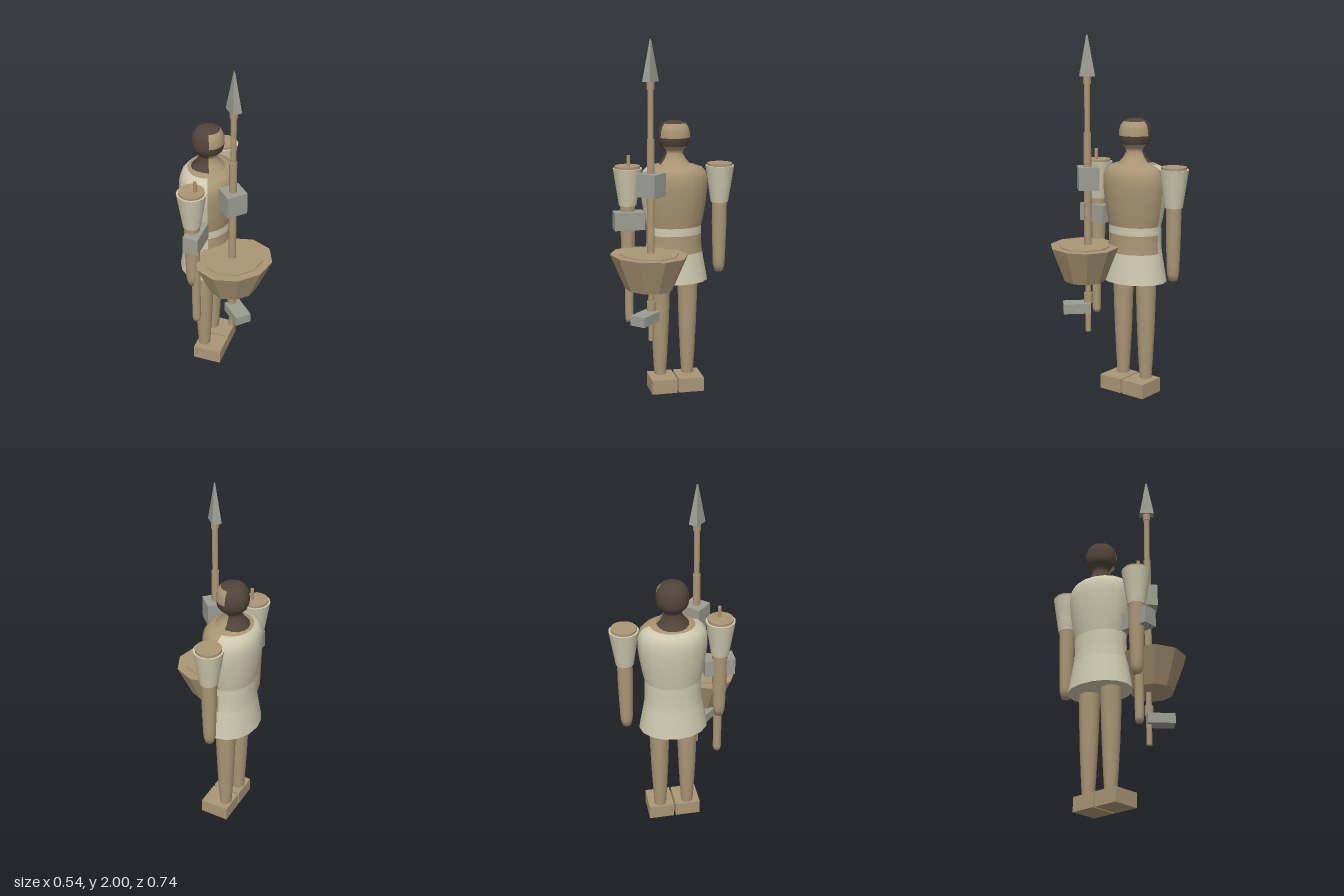
import * as THREE from 'three';

const mat = (name, color) => {
  const m = new THREE.MeshStandardMaterial({ color });
  m.name = name;
  return m;
};

export function createModel() {
  const skin = mat('tan', 0xaa9675);
  const cloth = mat('cream cloth', 0xcdc8ae);
  const hair = mat('dark hair', 0x51453a);
  const metal = mat('grey metal', 0x9c9d92);

  const model = new THREE.Group();
  model.name = 'spearman';
  // the body stands turned an eighth of a circle from the front
  const body = new THREE.Group();
  body.name = 'body';
  body.position.set(0, 0, -0.1);
  body.rotation.y = Math.PI / 4;
  model.add(body);

  const add = (parent, name, geometry, material, x = 0, y = 0, z = 0) => {
    const mesh = new THREE.Mesh(geometry, material);
    mesh.name = name;
    mesh.position.set(x, y, z);
    parent.add(mesh);
    return mesh;
  };
  const flat = (geometry) => {
    const g = geometry.toNonIndexed();
    g.computeVertexNormals();
    return g;
  };
  const box = (w, h, d) => new THREE.BoxGeometry(w, h, d);
  // profile is a list of [radius, height] from bottom to top
  const lathe = (profile, depth = 1, start = 0, sweep = 360, segments = 16) => {
    const points = profile.map(([r, y]) => new THREE.Vector2(r, y));
    const g = new THREE.LatheGeometry(points, segments,
      THREE.MathUtils.degToRad(start), THREE.MathUtils.degToRad(sweep));
    return g.scale(1, 1, depth);
  };
  // front and back panels meet at the sides, one segment forward on the right
  const front = (profile, depth) => lathe(profile, depth, -67.5, 157.5, 7);
  const back = (profile, depth) => lathe(profile, depth, 90, 202.5, 9);

  // torso and tunic
  const DEPTH = 0.81;
  const chest = [[0.158, 0.96], [0.171, 1.02], [0.184, 1.1], [0.193, 1.18],
    [0.191, 1.23], [0.18, 1.265], [0.158, 1.287], [0.125, 1.299]];
  const belt = [[0.159, 0.915], [0.158, 0.96]];
  const waist = [[0.164, 0.81], [0.159, 0.86], [0.159, 0.915]];
  const skirt = [[0, 0.645], [0.194, 0.645], [0.194, 0.645], [0.18, 0.72], [0.164, 0.81]];
  add(body, 'chest', front(chest, DEPTH), skin);
  add(body, 'tunicBack', back(chest, DEPTH), cloth);
  add(body, 'belt', lathe(belt, DEPTH), cloth);
  add(body, 'waist', front(waist, DEPTH), skin);
  add(body, 'tunicWaistBack', back(waist, DEPTH), cloth);
  add(body, 'skirt', lathe(skirt, DEPTH), cloth);
  add(body, 'collar', lathe([[0.125, 1.299], [0.1, 1.304], [0.085, 1.312]], 0.9), skin);

  // neck and head, with hair over the back and crown
  const neck = [[0.095, 1.303], [0.066, 1.335], [0.048, 1.37], [0.056, 1.39], [0.078, 1.41]];
  const eyes = [[0.078, 1.41], [0.087, 1.432], [0.09, 1.457]];
  const brow = [[0.09, 1.457], [0.088, 1.49], [0.08, 1.515], [0.064, 1.535]];
  const crown = [[0.064, 1.535], [0.035, 1.547], [0, 1.552]];
  add(body, 'neckAndJaw', front(neck), skin);
  add(body, 'eyeBand', front(eyes), hair);
  add(body, 'forehead', front(brow), skin);
  add(body, 'hairBack', back([...neck, ...eyes.slice(1), ...brow.slice(1)]), hair);
  add(body, 'hairCrown', lathe(crown), hair);

  // legs, feet, sleeves and arms
  for (const [side, s] of [['left', 1], ['right', -1]]) {
    add(body, side + 'Leg', lathe([[0.034, 0.07], [0.042, 0.2], [0.049, 0.34],
      [0.054, 0.48], [0.06, 0.7]]), skin, s * 0.08);
    add(body, side + 'Foot', box(0.145, 0.082, 0.165), skin, s * 0.078, 0.041, 0.04);

    const arm = new THREE.Group();
    arm.name = side + 'Arm';
    arm.position.x = s * 0.264;
    body.add(arm);
    add(arm, 'sleeve', flatCapped(0.082, 0.05, 1.082, 1.29), cloth);
    add(arm, 'shoulderCap', flatCapped(0.071, 0.071, 1.28, 1.304), skin);
    add(arm, 'forearm', lathe([[0, 0.675], [0.024, 0.677], [0.034, 0.715],
      [0.036, 0.76], [0.042, 0.95], [0.043, 1.1]]), skin);
  }

  // smooth-sided cylinder given by its radii and height range
  function flatCapped(top, bottom, y0, y1) {
    return new THREE.CylinderGeometry(top, bottom, y1 - y0, 16).translate(0, (y0 + y1) / 2, 0);
  }

  // club held in the right hand, with its guard
  const club = new THREE.Group();
  club.name = 'club';
  club.position.set(-0.262, 0, 0.02);
  body.add(club);
  add(club, 'clubShaft', lathe([[0, 0.41], [0.019, 0.413], [0.024, 0.435],
    [0.025, 0.7], [0.022, 0.95]]), skin);
  add(club, 'clubHandle', flatCapped(0.01, 0.01, 0.9, 1.365), skin);
  add(club, 'clubGuard', box(0.17, 0.1, 0.087), metal, 0, 1, 0);

  // spear standing upright in front of the body
  const spear = new THREE.Group();
  spear.name = 'spear';
  spear.position.set(0.02, 0, 0.165);
  model.add(spear);
  const rods = [[0.016, 0.355, 0.6], [0.024, 0.52, 0.578], [0.015, 0.57, 0.7],
    [0.021, 0.8, 1.475], [0.016, 1.46, 1.78], [0.021, 1.74, 1.78]];
  rods.forEach(([r, y0, y1]) => add(spear, 'shaft', flatCapped(r, r, y0, y1), skin));
  const tip = new THREE.CylinderGeometry(0.09, 1, 0.22, 4).rotateY(Math.PI / 4);
  add(spear, 'spearhead', flat(tip.scale(0.036, 1, 0.059)), metal, 0, 1.89, 0);
  add(spear, 'upperBlock', box(0.116, 0.127, 0.112), metal, 0.002, 1.227, -0.003);
  add(spear, 'lowerBlock', box(0.09, 0.056, 0.15), metal, 0.004, 0.497, 0.065);

  // ten-sided basket around the shaft
  const decagon = (top, bottom, height, depth) => flat(
    new THREE.CylinderGeometry(top, bottom, height, 10).rotateY(Math.PI / 2).scale(1, 1, depth));
  add(model, 'basket', decagon(0.223, 0.137, 0.192, 0.86), skin, 0.02, 0.751, 0.185);
  add(model, 'basketLid', decagon(0.168, 0.168, 0.012, 0.86), skin, 0.02, 0.847, 0.185);

  return model;
}
